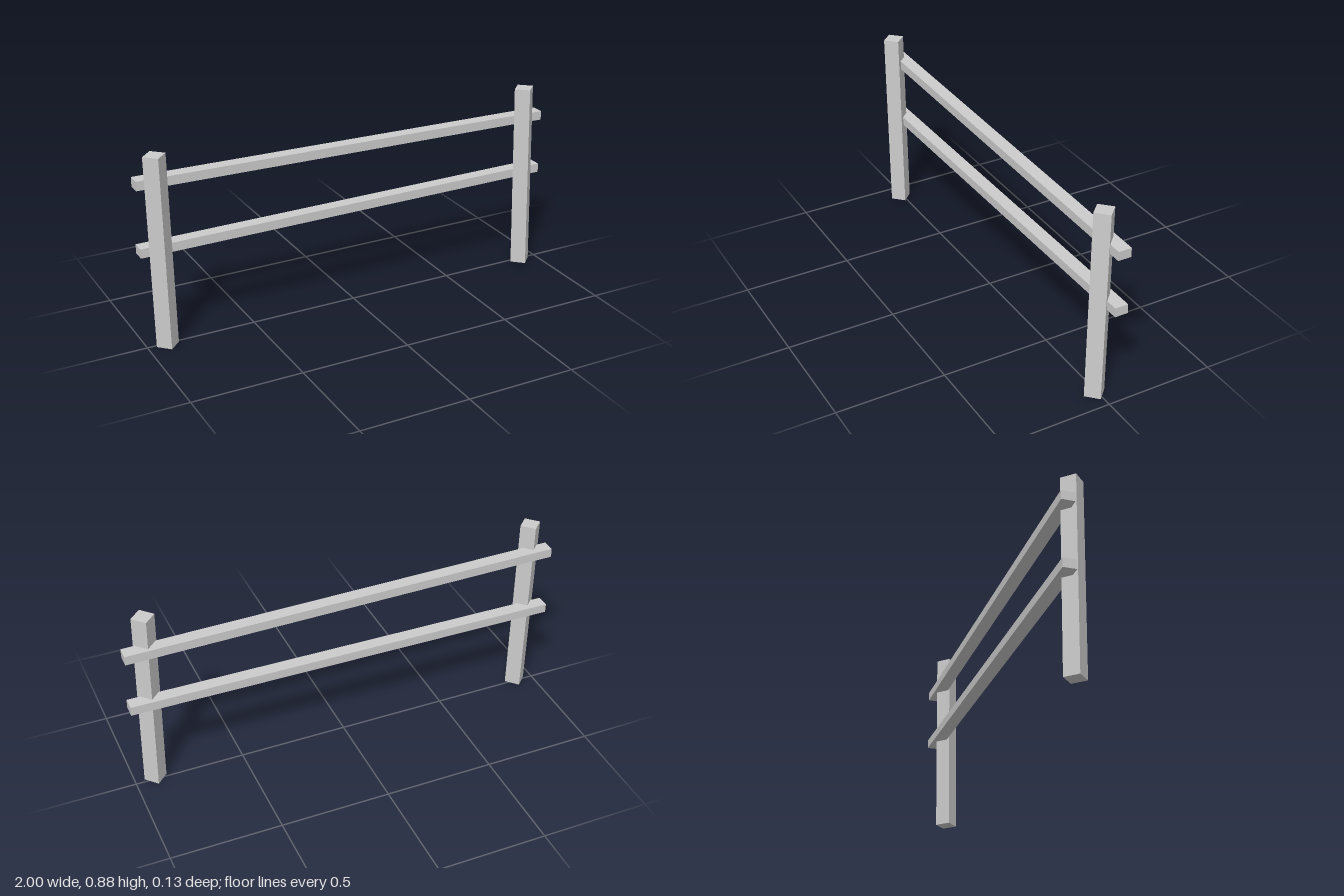
import * as THREE from 'three';

const material = new THREE.MeshStandardMaterial({ color: 0xcccccc, flatShading: true });

// Square timber running from point a to point b, turned about its own axis
function timber(name, a, b, width, depth, turn = 0) {
  const start = new THREE.Vector3(...a);
  const end = new THREE.Vector3(...b);
  const dir = end.clone().sub(start);
  const geometry = new THREE.BoxGeometry(width, dir.length(), depth);
  geometry.rotateY(turn);
  const mesh = new THREE.Mesh(geometry, material);
  mesh.name = name;
  mesh.position.copy(start).add(end).multiplyScalar(0.5);
  mesh.quaternion.setFromUnitVectors(new THREE.Vector3(0, 1, 0), dir.normalize());
  return mesh;
}

export function createModel() {
  const group = new THREE.Group();
  group.name = 'fence';

  // Slightly leaning posts, set corner-on to the rails
  const post = 0.0715;
  group.add(
    timber('rightPost', [-0.911, 0.001, 0.012], [-0.922, 0.879, 0.013], post, post, Math.PI / 4),
    timber('leftPost', [0.907, 0.001, 0.014], [0.893, 0.879, -0.001], post, post, Math.PI / 4),
  );

  // Two rails behind the posts, sloping towards each other
  const railZ = -0.0335;
  group.add(
    timber('topRail', [-1, 0.749, railZ], [1, 0.724, railZ], 0.042, 0.06),
    timber('bottomRail', [-1, 0.444, railZ], [1, 0.459, railZ], 0.042, 0.06),
  );
  return group;
}
